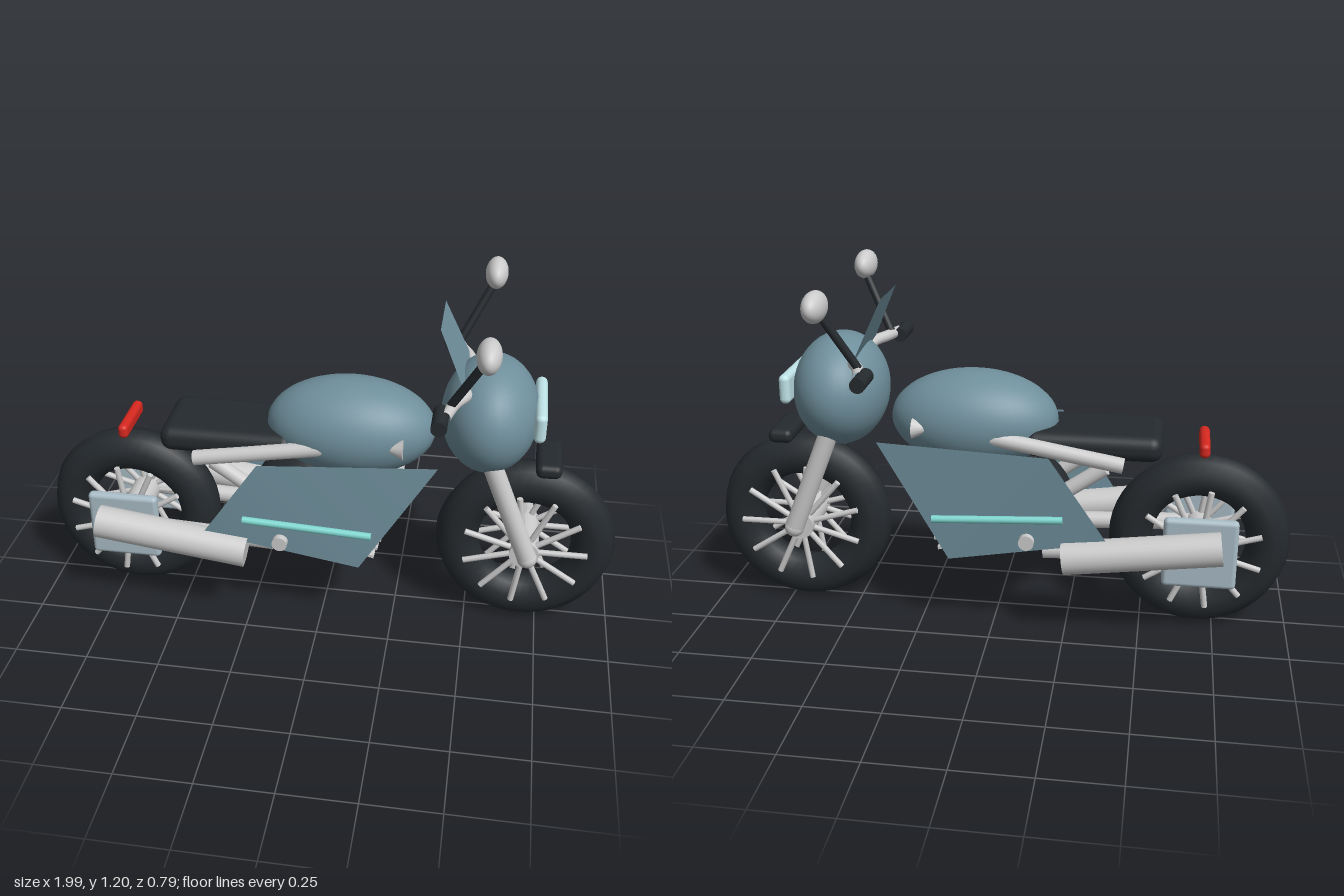
import * as THREE from 'three';
import { RoundedBoxGeometry } from 'three/addons/geometries/RoundedBoxGeometry.js';

const mat = (color, side = THREE.FrontSide) => new THREE.MeshStandardMaterial({ color, side });
const metal = mat(0xcccccc);
const black = mat(0x252a2e);
const paint = mat(0x6f8f9c);
const panelPaint = mat(0x6f8f9c, THREE.DoubleSide);
const glass = mat(0xbfe3e8);
const teal = mat(0x7fd6cf);
const red = mat(0xd6281f);
const plateBlue = mat(0xa9bcc6);
const V = (x, y, z) => new THREE.Vector3(x, y, z);

export function createModel() {
  const model = new THREE.Group();
  model.name = 'motorcycle';

  const add = (name, geometry, material, x = 0, y = 0, z = 0, parent = model) => {
    const m = new THREE.Mesh(geometry, material);
    m.name = name;
    m.position.set(x, y, z);
    parent.add(m);
    return m;
  };
  // Straight round bar between two points
  const rod = (name, a, b, r, material, parent = model, sides = 16) => {
    const d = b.clone().sub(a);
    const c = a.clone().add(b).multiplyScalar(0.5);
    const m = add(name, new THREE.CylinderGeometry(r, r, d.length(), sides), material, c.x, c.y, c.z, parent);
    m.quaternion.setFromUnitVectors(V(0, 1, 0), d.normalize());
    return m;
  };
  const ellipsoid = (name, material, x, y, z, rx, ry, rz) =>
    add(name, new THREE.SphereGeometry(1, 32, 24).scale(rx, ry, rz), material, x, y, z);
  const block = (name, material, w, h, d, r, x, y, z) =>
    add(name, new RoundedBoxGeometry(w, h, d, 3, r), material, x, y, z);
  // Flat four-cornered sheet
  const sheet = (name, corners, material) => {
    const g = new THREE.BufferGeometry().setFromPoints(corners);
    g.setIndex([0, 1, 2, 0, 2, 3]);
    g.computeVertexNormals();
    return add(name, g, material);
  };

  // Wheels with a row of spokes on each side
  const wheel = (name, x, spokeZ) => {
    const w = new THREE.Group();
    w.name = name;
    w.position.set(x, 0.307, 0);
    model.add(w);
    add('tire', new THREE.TorusGeometry(0.232, 0.074, 10, 48), black, 0, 0, 0, w);
    rod('hub', V(0, 0, -0.11), V(0, 0, 0.11), 0.05, metal, w, 24);
    for (const z of [-spokeZ, spokeZ])
      for (let i = 0; i < 11; i++) {
        const a = (i / 11) * Math.PI * 2;
        rod('spoke', V(0, 0, z), V(Math.cos(a) * 0.212, Math.sin(a) * 0.212, z), 0.0105, metal, w, 8);
      }
  };
  wheel('frontWheel', 0.69, 0.083);
  wheel('rearWheel', -0.69, 0.105);

  // Body
  ellipsoid('fuelTank', paint, 0.082, 0.705, 0, 0.285, 0.166, 0.175);
  ellipsoid('headFairing', paint, 0.54, 0.79, 0, 0.16, 0.192, 0.219);
  block('seat', black, 0.46, 0.09, 0.27, 0.04, -0.325, 0.657, 0);
  block('headlight', glass, 0.038, 0.1, 0.295, 0.018, 0.701, 0.814, 0);
  block('tailLight', red, 0.035, 0.05, 0.2, 0.016, -0.69, 0.655, 0);
  block('frontGuard', black, 0.085, 0.05, 0.196, 0.022, 0.745, 0.628, 0);
  sheet('windscreen', [V(0.37, 1.125, 0.113), V(0.37, 1.125, -0.113),
    V(0.47, 0.9, -0.152), V(0.47, 0.9, 0.152)], panelPaint);

  // Engine with a forward-leaning stack of cooling fins
  ellipsoid('engineCase', black, -0.06, 0.41, 0, 0.2, 0.19, 0.155);
  rod('cylinderBlock', V(0.03, 0.28, 0), V(0.13, 0.6, 0), 0.1, metal);
  for (let i = 0; i < 7; i++) {
    const y = 0.315 + i * 0.035;
    const fin = add('coolingFin', new THREE.BoxGeometry(0.26, 0.011, 0.33), metal, 0.06 + i * 0.012, y, 0);
    fin.rotation.z = -0.25;
  }
  rod('footPegBar', V(-0.125, 0.36, -0.25), V(-0.125, 0.36, 0.25), 0.026, metal);

  // Paired parts on the two sides
  for (const s of [-1, 1]) {
    const P = (x, y, z) => V(x, y, z * s);
    rod('fork', P(0.52, 0.765, 0.128), P(0.7, 0.31, 0.128), 0.033, metal);
    add('forkFoot', new THREE.SphereGeometry(0.034, 16, 12), metal, 0.7, 0.31, 0.128 * s);
    rod('seatRail', P(-0.43, 0.61, 0.145), P(0.02, 0.685, 0.14), 0.026, metal);
    rod('frameStrut', P(-0.37, 0.595, 0.13), P(-0.05, 0.37, 0.13), 0.026, metal);
    rod('swingArm', P(-0.17, 0.285, 0.126), P(-0.69, 0.31, 0.126), 0.03, metal);
    rod('muffler', P(-0.76, 0.372, 0.224), P(-0.245, 0.304, 0.224), 0.056, metal, model, 28);
    block('rearPlate', plateBlue, 0.245, 0.245, 0.036, 0.016, -0.692, 0.318, 0.15 * s);

    // Slanted side panel with a bright strip
    sheet('sidePanel', [P(-0.195, 0.66, 0.243), P(-0.39, 0.37, 0.232),
      P(0.14, 0.27, 0.215), P(0.388, 0.655, 0.165)], panelPaint);
    rod('accentStrip', P(-0.245, 0.455, 0.26), P(0.185, 0.433, 0.26), 0.0125, teal);
    const bolt = add('tankBadge', new THREE.ConeGeometry(0.035, 0.07, 16), metal, 0.235, 0.7, 0.135 * s);
    bolt.rotation.z = Math.PI / 2;

    // Handlebar, grip and mirror
    const bar = new THREE.CatmullRomCurve3([P(0.5, 0.88, 0), P(0.46, 0.915, 0.14),
      P(0.43, 0.918, 0.2), P(0.405, 0.915, 0.285)]);
    add('handlebar', new THREE.TubeGeometry(bar, 20, 0.019, 12), metal);
    rod('grip', P(0.392, 0.91, 0.24), P(0.392, 0.91, 0.355), 0.025, black);
    rod('mirrorStalk', P(0.42, 0.93, 0.23), P(0.52, 1.12, 0.295), 0.014, black);
    ellipsoid('mirror', metal, 0.525, 1.147, 0.318 * s, 0.038, 0.05, 0.076);
  }
  return model;
}
